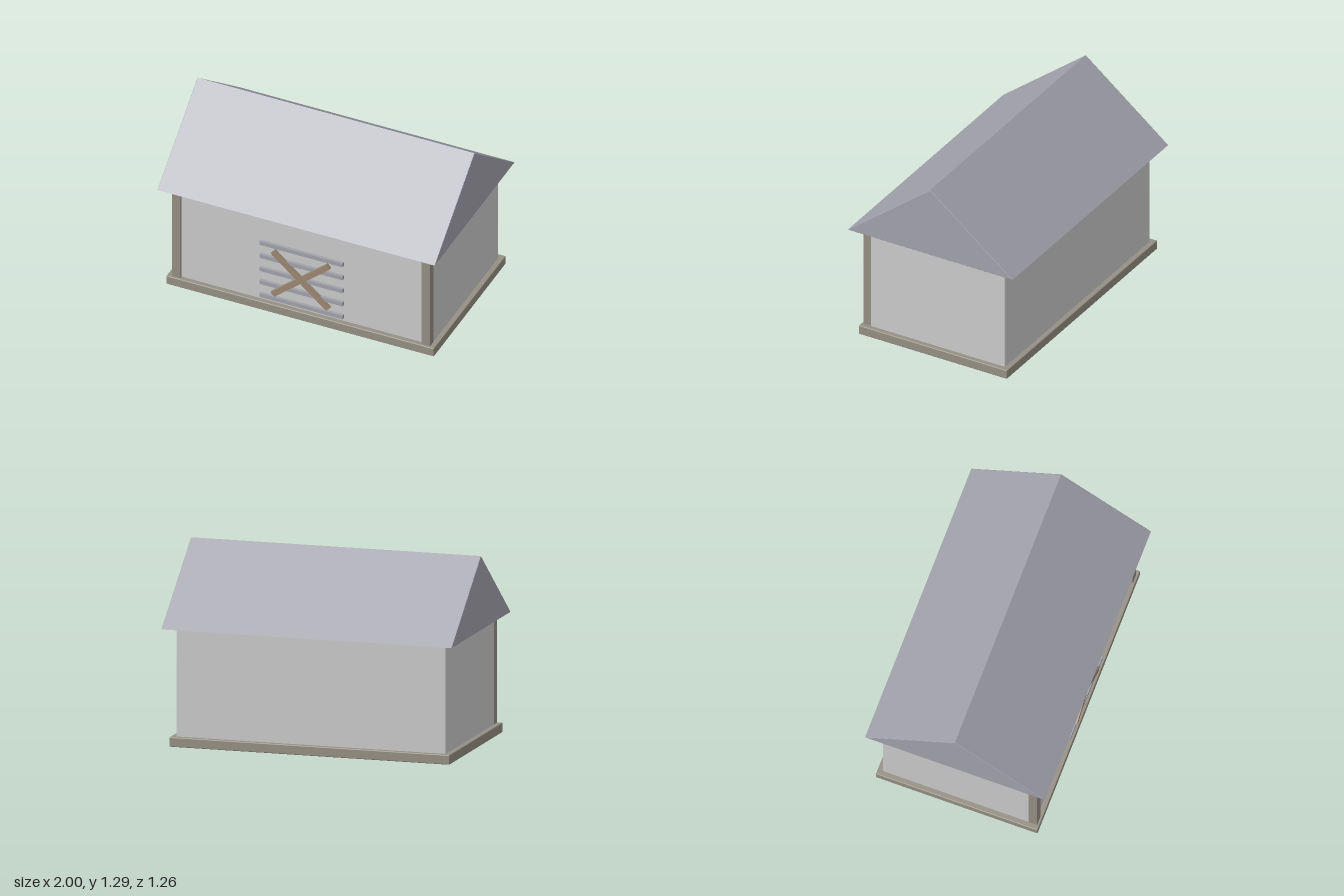
import * as THREE from 'three';
import { RoundedBoxGeometry } from 'three/addons/geometries/RoundedBoxGeometry.js';

const mat = (color) => new THREE.MeshStandardMaterial({ color });

export function createModel() {
  const group = new THREE.Group();
  const wall = mat(0xcccccc), slate = mat(0xa2a2ac), stone = mat(0x959084), wood = mat(0x9c8872);

  const add = (name, geometry, material, x, y, z) => {
    const mesh = new THREE.Mesh(geometry, material);
    mesh.name = name;
    mesh.position.set(x, y, z);
    group.add(mesh);
    return mesh;
  };
  const box = (w, h, d, r) => new RoundedBoxGeometry(w, h, d, 2, r);

  // Plinth, with the walls running down through it
  add('base', box(1.93, 0.065, 1.13, 0.006), stone, 0, 0.0335, 0);
  add('walls', box(1.86, 0.81, 1.06, 0.01), wall, 0, 0.405, 0);

  // Front corner posts
  for (const side of [-1, 1]) {
    add(side > 0 ? 'leftPost' : 'rightPost', box(0.062, 0.76, 0.06, 0.003), stone, side * 0.9, 0.43, 0.52);
  }

  // Horizontal window slats
  for (let i = 0; i < 5; i++) {
    add('slat', new THREE.BoxGeometry(0.6, 0.03, 0.03), slate, 0, 0.105 + i * 0.106, 0.535);
  }

  // Crossed boards nailed over the slats
  for (const side of [-1, 1]) {
    const board = add('crossBoard', new THREE.BoxGeometry(0.53, 0.04, 0.022), wood, 0, 0.32, 0.551);
    board.rotation.z = side * 0.71;
  }

  // Gabled roof: a softly bevelled triangular prism along x
  const b = 0.004;
  const gable = new THREE.Shape([
    new THREE.Vector2(-0.628, 0),
    new THREE.Vector2(0.628, 0),
    new THREE.Vector2(0, 0.495),
  ]);
  const roof = new THREE.ExtrudeGeometry(gable, {
    depth: 2 - 2 * b, bevelThickness: b, bevelSize: b, bevelOffset: -b, bevelSegments: 2,
  });
  roof.translate(0, 0, b - 1);
  roof.rotateY(Math.PI / 2);
  add('roof', roof, slate, 0, 0.796, 0);

  return group;
}
